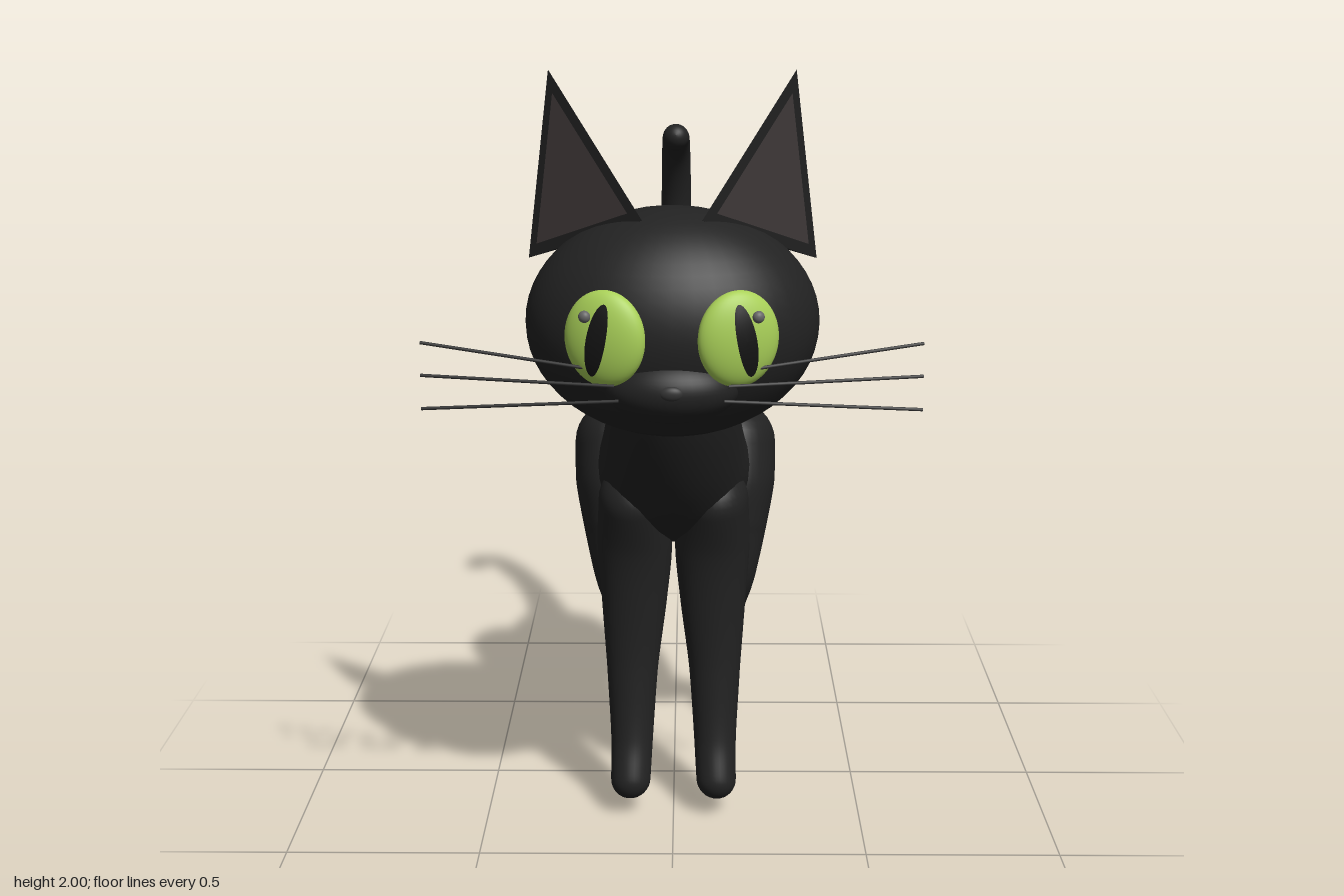
import * as THREE from 'three';

const mat = (name, color, side = THREE.FrontSide) => {
  const m = new THREE.MeshStandardMaterial({ color, side });
  m.name = name;
  return m;
};

// Smooth loft with rounded ends through sections [x, y, z, half width, half depth]
function loft(sections, steps = 48, around = 32) {
  const path = new THREE.CatmullRomCurve3(sections.map(s => new THREE.Vector3(s[0], s[1], s[2])));
  const size = new THREE.CatmullRomCurve3(sections.map(s => new THREE.Vector3(s[3], s[4], 0)));
  const X = new THREE.Vector3(1, 0, 0);
  const rings = [];
  const addRing = (t, push, shrink) => {
    const T = path.getTangent(t);
    const r = size.getPoint(t);
    const c = path.getPoint(t).addScaledVector(T, push * Math.min(r.x, r.y));
    const N = new THREE.Vector3().crossVectors(T, X).normalize();
    rings.push({ c, N, rx: r.x * shrink, rn: r.y * shrink });
  };
  const cap = 8;
  for (let i = 0; i < cap; i++) {
    const a = (1 - i / cap) * Math.PI / 2;
    addRing(0, -Math.sin(a), Math.max(Math.cos(a), 0.001));
  }
  for (let i = 0; i <= steps; i++) addRing(i / steps, 0, 1);
  for (let i = 1; i <= cap; i++) {
    const a = i / cap * Math.PI / 2;
    addRing(1, Math.sin(a), Math.max(Math.cos(a), 0.001));
  }
  const pos = [], idx = [];
  rings.forEach(({ c, N, rx, rn }, i) => {
    for (let j = 0; j < around; j++) {
      const a = j / around * Math.PI * 2;
      const p = c.clone().addScaledVector(X, Math.cos(a) * rx).addScaledVector(N, Math.sin(a) * rn);
      pos.push(p.x, p.y, p.z);
      if (i === rings.length - 1) continue;
      const k = (j + 1) % around;
      const A = i * around + j, B = i * around + k, C = B + around, D = A + around;
      idx.push(A, B, D, B, C, D);
    }
  });
  const g = new THREE.BufferGeometry();
  g.setAttribute('position', new THREE.Float32BufferAttribute(pos, 3));
  g.setIndex(idx);
  g.computeVertexNormals();
  return g;
}

// Flat-faced geometry from corner triples, mirrored to side s
function facets(triangles, s) {
  const pts = triangles.flatMap(([a, b, c]) => (s > 0 ? [a, b, c] : [a, c, b]));
  const g = new THREE.BufferGeometry();
  g.setAttribute('position', new THREE.Float32BufferAttribute(pts.flatMap(p => [p.x * s, p.y, p.z]), 3));
  g.computeVertexNormals();
  return g;
}

export function createModel() {
  const fur = mat('black fur', 0x222222);
  const earPink = mat('inner ear grey', 0x423b3b, THREE.DoubleSide);
  const iris = mat('green iris', 0xa9d058);
  const pupilBlack = mat('pupil black', 0x141414, THREE.DoubleSide);
  const glintGrey = mat('glint grey', 0x666666);
  const whiskerGrey = mat('whisker grey', 0x333333);

  const model = new THREE.Group();
  model.name = 'cat';
  const add = (name, geometry, material, parent = model) => {
    const m = new THREE.Mesh(geometry, material);
    m.name = name;
    parent.add(m);
    return m;
  };
  const ball = (name, material, p, r, parent = model) => {
    const m = add(name, new THREE.SphereGeometry(1, 40, 28), material, parent);
    m.position.set(...p);
    m.scale.set(...r);
    return m;
  };
  const V = (x, y, z) => new THREE.Vector3(x, y, z);

  // Body from neck to rump
  add('body', loft([
    [0, 1.30, 0.45, 0.13, 0.13], [0, 1.20, 0.40, 0.155, 0.15], [0, 1.05, 0.265, 0.18, 0.19],
    [0, 0.945, 0.135, 0.20, 0.205], [0, 0.90, 0, 0.185, 0.17], [0, 0.887, -0.15, 0.168, 0.148],
    [0, 0.89, -0.30, 0.19, 0.145], [0, 0.89, -0.43, 0.19, 0.145], [0, 0.90, -0.51, 0.15, 0.125],
  ], 64), fur);

  // Tail
  add('tail', loft([
    [0, 0.97, -0.47, 0.085, 0.075], [0, 1.03, -0.56, 0.07, 0.065], [0, 1.10, -0.64, 0.054, 0.057],
    [0, 1.20, -0.705, 0.05, 0.05], [0, 1.32, -0.745, 0.047, 0.045], [0, 1.45, -0.76, 0.045, 0.042],
    [0, 1.57, -0.74, 0.044, 0.042], [0, 1.67, -0.69, 0.042, 0.04], [0, 1.722, -0.63, 0.04, 0.038],
    [0, 1.735, -0.575, 0.038, 0.037],
  ], 64), fur);

  // Head, muzzle and nose
  ball('head', fur, [0, 1.404, 0.505], [0.352, 0.277, 0.266]);
  ball('muzzle', fur, [0, 1.285, 0.68], [0.16, 0.085, 0.113]);
  ball('nose', whiskerGrey, [0, 1.292, 0.785], [0.028, 0.018, 0.014]);

  for (const s of [1, -1]) {
    const side = s > 0 ? 'left' : 'right';

    // Legs
    add(side + 'FrontLeg', loft([
      [s * 0.105, 0.88, 0.235, 0.09, 0.105], [s * 0.102, 0.75, 0.212, 0.098, 0.085],
      [s * 0.104, 0.60, 0.204, 0.087, 0.07], [s * 0.11, 0.40, 0.205, 0.068, 0.058],
      [s * 0.112, 0.20, 0.225, 0.056, 0.055], [s * 0.115, 0.10, 0.26, 0.053, 0.054],
    ]), fur);
    add(side + 'HindLeg', loft([
      [s * 0.173, 0.88, -0.355, 0.117, 0.165], [s * 0.175, 0.77, -0.32, 0.113, 0.172],
      [s * 0.168, 0.65, -0.285, 0.098, 0.142], [s * 0.158, 0.52, -0.258, 0.078, 0.095],
      [s * 0.15, 0.42, -0.318, 0.062, 0.076], [s * 0.145, 0.32, -0.395, 0.053, 0.062],
      [s * 0.14, 0.20, -0.447, 0.048, 0.048], [s * 0.14, 0.10, -0.432, 0.047, 0.048],
      [s * 0.14, 0.048, -0.415, 0.047, 0.048],
    ], 64), fur);

    // Ear: wedge with a grey panel on its front face
    const A = V(0.345, 1.55, 0.46), B = V(0.07, 1.66, 0.60), C = V(0.285, 2.0, 0.55);
    const A2 = V(0.33, 1.55, 0.405), B2 = V(0.10, 1.63, 0.52);
    add(side + 'Ear', facets([
      [A, C, B], [A2, B2, C], [A, A2, C], [B2, B, C], [A, B, B2], [A, B2, A2],
    ], s), fur);
    const mid = A.clone().add(B).add(C).divideScalar(3);
    const out = C.clone().sub(A).cross(B.clone().sub(A)).normalize();
    const inset = p => p.clone().lerp(mid, 0.2).addScaledVector(out, 0.004);
    add(side + 'InnerEar', facets([[inset(A), inset(C), inset(B)]], s), earPink);

    // Eye with slit pupil and glint, turned to follow the head
    const eye = new THREE.Group();
    eye.name = side + 'Eye';
    eye.position.set(s * 0.152, 1.41, 0.737);
    eye.rotation.y = s * 0.34;
    model.add(eye);
    const R = [0.098, 0.112, 0.04];
    ball('iris', iris, [0, 0, 0], R, eye);
    const bulge = (x, y) => R[2] * Math.sqrt(Math.max(0, 1 - (x / R[0]) ** 2 - (y / R[1]) ** 2));
    const slit = new THREE.RingGeometry(0.001, 1, 32, 6);
    slit.scale(0.024, 0.086, 1).rotateZ(s * 0.2).translate(s * 0.006, 0, 0);
    const p = slit.attributes.position;
    for (let i = 0; i < p.count; i++) p.setZ(i, bulge(p.getX(i), p.getY(i)) + 0.003);
    slit.computeVertexNormals();
    add('pupil', slit, pupilBlack, eye);
    ball('glint', glintGrey, [s * 0.034, 0.055, bulge(0.034, 0.055) + 0.006], [0.014, 0.014, 0.012], eye);

    // Whiskers
    [[0.19, 1.342, 0.745, 1.39, 0.69], [0.13, 1.305, 0.765, 1.315, 0.70], [0.12, 1.27, 0.765, 1.237, 0.705]]
      .forEach(([x, y, z, y2, z2], i) => {
        const line = new THREE.LineCurve3(V(s * x, y, z), V(s * 0.58, y2, z2));
        add(side + 'Whisker' + (i + 1), new THREE.TubeGeometry(line, 1, 0.004, 6), whiskerGrey);
      });
  }
  return model;
}
